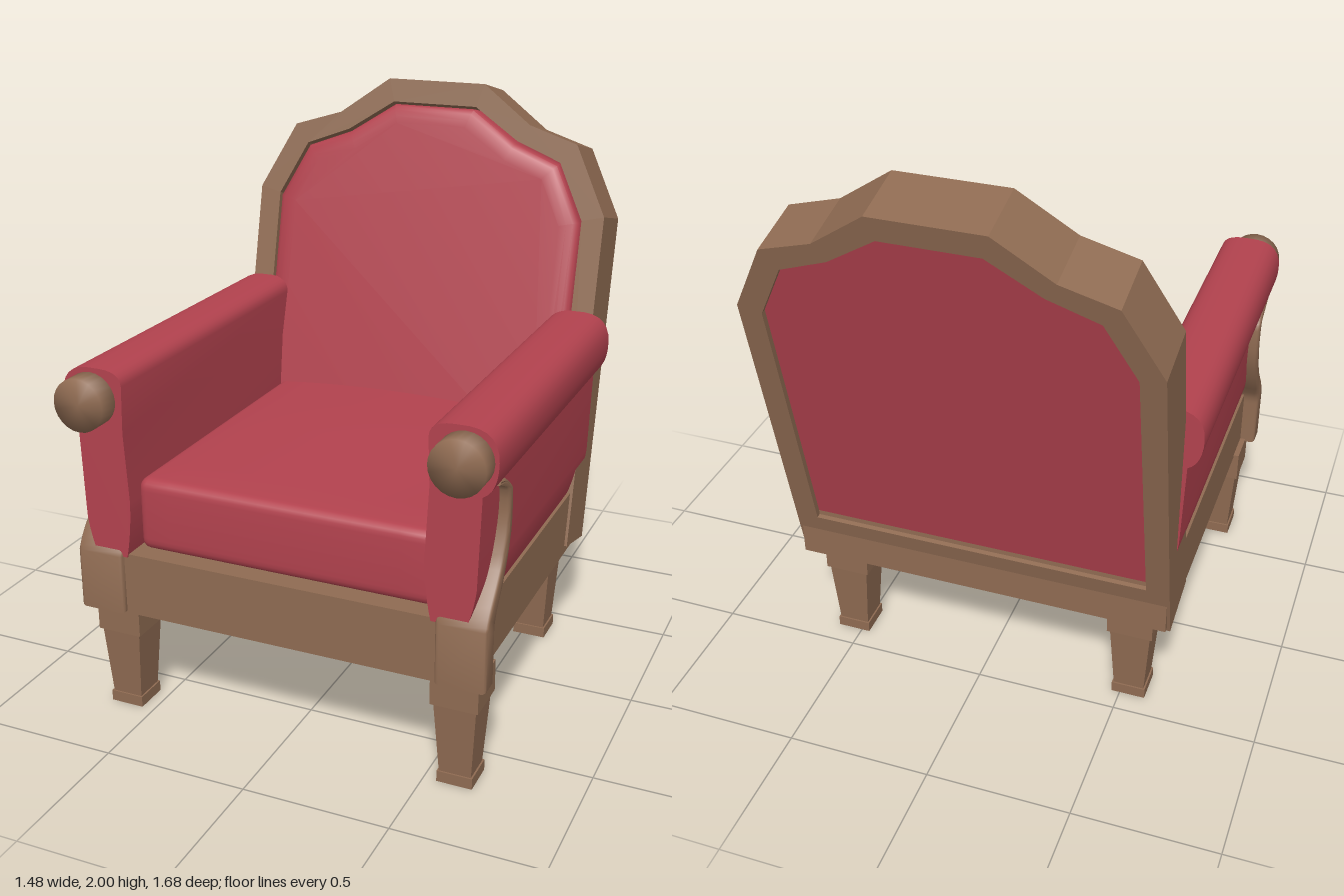
import * as THREE from 'three';
import { mergeVertices, toCreasedNormals } from 'three/addons/utils/BufferGeometryUtils.js';

const red = new THREE.MeshStandardMaterial({ color: 0xb2424e });
red.name = 'red upholstery';
const wood = new THREE.MeshStandardMaterial({ color: 0x8f6b52 });
wood.name = 'brown wood';

const vec = (pts) => pts.map(([x, y]) => new THREE.Vector2(x, y));

// Shape symmetric about x = 0 from its right half, listed bottom to top
function mirroredShape(half) {
  const other = half.map(([x, y]) => [-x, y]).reverse();
  return new THREE.Shape(vec([...half, ...other]));
}

function extrude(shape, depth, options = {}) {
  return new THREE.ExtrudeGeometry(shape, { depth, bevelEnabled: false, ...options });
}

// Normals averaged across every edge
function softened(geometry) {
  geometry.deleteAttribute('normal');
  geometry.deleteAttribute('uv');
  const merged = mergeVertices(geometry, 1e-4);
  merged.computeVertexNormals();
  return merged;
}

function add(parent, name, geometry, material, x = 0, y = 0, z = 0) {
  const mesh = new THREE.Mesh(geometry, material);
  mesh.name = name;
  mesh.position.set(x, y, z);
  parent.add(mesh);
  return mesh;
}

// Square leg: block, tapered shaft and small foot
function makeLeg(name, x, z) {
  const leg = new THREE.Group();
  leg.name = name;
  const prism = (part, top, bottom, y0, y1) => {
    const g = new THREE.CylinderGeometry(top / Math.SQRT2, bottom / Math.SQRT2, y1 - y0, 4, 1);
    g.rotateY(Math.PI / 4);
    add(leg, part, toCreasedNormals(g, 0.3), wood, 0, (y0 + y1) / 2, 0);
  };
  prism('legBlock', 0.16, 0.16, 0.29, 0.4);
  prism('legShaft', 0.142, 0.108, 0.035, 0.29);
  prism('legFoot', 0.12, 0.12, 0, 0.038);
  leg.position.set(x, 0, z);
  return leg;
}

// Reclined backrest: arched wooden frame with cushion and rear panel
function makeBackrest() {
  const back = new THREE.Group();
  back.name = 'backrest';
  const outer = [[0.675, 0], [0.675, 1.19], [0.55, 1.434], [0.37, 1.49], [0.185, 1.624]];
  const inner = [[0.595, 0.2], [0.595, 1.17], [0.495, 1.367], [0.33, 1.43], [0.16, 1.541]];
  const frame = mirroredShape(outer);
  frame.holes.push(mirroredShape(inner));
  add(back, 'backFrame', extrude(frame, 0.215), wood, 0, 0, -0.215);

  const padOutline = inner.map(([x, y], i) => [x - 0.006, y - (i ? 0.008 : 0)]);
  const pad = extrude(mirroredShape(padOutline), 0.14, {
    bevelEnabled: true, bevelThickness: 0.03, bevelSize: 0.07, bevelOffset: -0.07, bevelSegments: 4,
  });
  add(back, 'backCushion', toCreasedNormals(pad, 0.7), red, 0, 0, -0.15);
  add(back, 'rearPanel', extrude(mirroredShape(inner), 0.008), red, 0, 0, -0.195);

  back.position.set(0, 0.42, -0.25);
  back.rotation.x = -0.234;
  return back;
}

// Seat cushion: side profile swept across x, crowned toward the middle and back
function makeSeat() {
  const profile = new THREE.Shape();
  profile.moveTo(-0.705, 0.65);
  profile.quadraticCurveTo(-0.705, 0.61, -0.67, 0.605);
  profile.lineTo(0.4, 0.605);
  profile.lineTo(0.4, 0.86);
  for (let i = 1; i <= 8; i++) profile.lineTo(0.4 - i * 0.133, 0.86);
  profile.quadraticCurveTo(-0.705, 0.86, -0.705, 0.82);
  const g = extrude(profile, 0.98, {
    steps: 12, curveSegments: 5,
    bevelEnabled: true, bevelThickness: 0.03, bevelSize: 0.025, bevelOffset: -0.025, bevelSegments: 4,
  });
  g.translate(0, 0, -0.49);
  g.rotateY(Math.PI / 2);
  const p = g.attributes.position;
  for (let i = 0; i < p.count; i++) {
    if (p.getY(i) < 0.83) continue;
    const across = 1 - (p.getX(i) / 0.52) ** 2;
    const along = THREE.MathUtils.clamp((0.66 - p.getZ(i)) / 0.7, 0, 1);
    p.setY(i, p.getY(i) + 0.025 * across * along);
  }
  return toCreasedNormals(g, 0.8);
}

// Rolled arm: front-view section swept from back to front
function makeArm(side) {
  const s = new THREE.Shape();
  s.moveTo(0.535, 0.6);
  s.lineTo(0.65, 0.6);
  s.quadraticCurveTo(0.672, 0.66, 0.68, 0.73);
  s.lineTo(0.69, 1.035);
  s.quadraticCurveTo(0.738, 1.06, 0.738, 1.15);
  s.quadraticCurveTo(0.738, 1.245, 0.645, 1.25);
  s.lineTo(0.6, 1.25);
  s.quadraticCurveTo(0.522, 1.25, 0.52, 1.2);
  s.lineTo(0.525, 1.04);
  s.lineTo(0.512, 0.8);
  s.quadraticCurveTo(0.515, 0.69, 0.535, 0.6);
  const pts = s.getPoints(6).map((q) => new THREE.Vector2(q.x * side, q.y));
  return toCreasedNormals(extrude(new THREE.Shape(pts), 1.205), 0.7);
}

// Curved post: side-view strip given as (z, y), swept across x
function makePost() {
  const front = new THREE.SplineCurve(vec([
    [0.775, 0.6], [0.745, 0.655], [0.65, 0.77], [0.605, 0.89], [0.605, 0.99], [0.64, 1.03], [0.715, 1.055]]));
  const rear = new THREE.SplineCurve(vec([
    [0.64, 1.055], [0.575, 1.01], [0.56, 0.97], [0.565, 0.85], [0.62, 0.72], [0.69, 0.62], [0.7, 0.57]]));
  const outline = [...vec([[0.7, 0.39], [0.775, 0.39]]), ...front.getPoints(16), ...rear.getPoints(16)];
  const shape = new THREE.Shape(outline.map((q) => new THREE.Vector2(-q.x, q.y)));
  const g = extrude(shape, 0.14, {
    bevelEnabled: true, bevelThickness: 0.015, bevelSize: 0.012, bevelOffset: -0.012, bevelSegments: 3,
  });
  g.translate(0, 0, -0.07);
  g.rotateY(Math.PI / 2);
  return toCreasedNormals(g, 0.9);
}

export function createModel() {
  const chair = new THREE.Group();
  chair.name = 'armchair';

  // Wooden base and seat
  add(chair, 'baseRail', new THREE.BoxGeometry(1.33, 0.22, 1.25), wood, 0, 0.5, 0.135);
  add(chair, 'seatCushion', makeSeat(), red);
  chair.add(makeBackrest());

  // Arms, posts, knobs and legs on both sides
  for (const [side, label] of [[1, 'left'], [-1, 'right']]) {
    add(chair, label + 'Arm', makeArm(side), red, 0, 0, -0.44);
    add(chair, label + 'FrontPost', makePost(), wood, side * 0.636, 0, 0);
    const knob = new THREE.CylinderGeometry(0.09, 0.09, 0.095, 24).rotateX(Math.PI / 2);
    add(chair, label + 'ArmKnob', softened(knob), wood, side * 0.635, 1.145, 0.7925);
    chair.add(makeLeg(label + 'FrontLeg', side * 0.605, 0.655));
    chair.add(makeLeg(label + 'BackLeg', side * 0.53, -0.36));
  }
  return chair;
}
